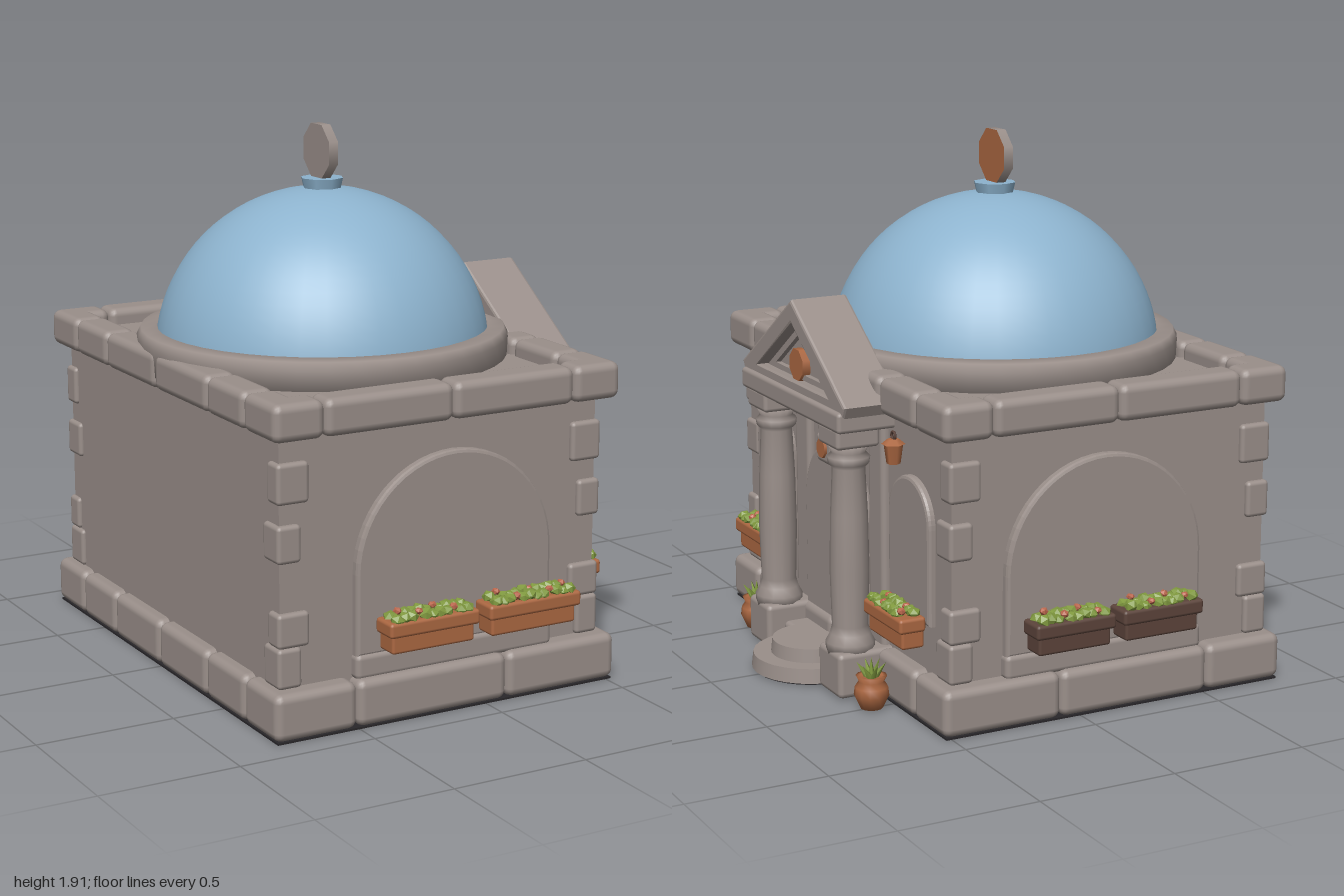
import * as THREE from 'three';
import { RoundedBoxGeometry } from 'three/addons/geometries/RoundedBoxGeometry.js';

const paint = (name, color) => Object.assign(new THREE.MeshStandardMaterial({ color }), { name });

export function createModel() {
  const model = new THREE.Group();
  const stone = paint('stone', 0x9a8f8a), blue = paint('dome blue', 0x8db3ce);
  const copper = paint('terracotta', 0xac6842), darkWood = paint('dark wood', 0x5c443b);
  const green = paint('leaf green', 0x80993f), red = paint('flower red', 0xb9664c);
  const glass = paint('dark glass', 0x423a42), bars = paint('window bars', 0x66564e);
  const pale = paint('pale mullion', 0xaaa3a3), black = paint('underside', 0x29272a);
  let seed = 7;
  const rnd = () => (seed = (seed * 16807) % 2147483647) / 2147483647;

  const add = (parent, name, geo, mat, x = 0, y = 0, z = 0) => {
    const m = new THREE.Mesh(geo, mat);
    m.name = name;
    m.position.set(x, y, z);
    parent.add(m);
    return m;
  };
  // Box from its limits, with optional rounded edges
  const block = (parent, name, mat, x0, x1, y0, y1, z0, z1, r = 0.02) => {
    const s = [x1 - x0, y1 - y0, z1 - z0];
    const geo = r ? new RoundedBoxGeometry(...s, 2, Math.min(r, ...s.map(v => v * 0.45))) : new THREE.BoxGeometry(...s);
    return add(parent, name, geo, mat, (x0 + x1) / 2, (y0 + y1) / 2, (z0 + z1) / 2);
  };
  const group = (name, parent = model, x = 0, y = 0, z = 0, turn = 0) => {
    const g = new THREE.Group();
    g.name = name;
    g.position.set(x, y, z);
    g.rotation.y = turn;
    parent.add(g);
    return g;
  };
  // Round-headed outline
  const arch = (cx, half, y0, top, Type = THREE.Shape) => {
    const s = new Type();
    s.moveTo(cx - half, y0);
    s.lineTo(cx + half, y0);
    s.lineTo(cx + half, top - half);
    s.absarc(cx, top - half, half, 0, Math.PI, false);
    s.lineTo(cx - half, y0);
    return s;
  };
  const extrude = (shape, depth, bevel = 0) => new THREE.ExtrudeGeometry(shape, {
    depth, curveSegments: 14, bevelEnabled: bevel > 0, bevelSize: bevel, bevelThickness: bevel, bevelSegments: 2, bevelOffset: -bevel,
  });
  const polygon = pts => new THREE.Shape(pts.map(p => new THREE.Vector2(...p)));
  const wallShape = (half, holes) => {
    const s = polygon([[-half, 0.02], [half, 0.02], [half, 1.09], [-half, 1.09]]);
    s.holes = holes.map(h => arch(...h, THREE.Path));
    return s;
  };
  const archFrame = (parent, name, cx, inner, outer, y0, top, outerTop, z) => {
    const s = arch(cx, outer, y0, outerTop);
    s.holes = [arch(cx, inner, y0 + 0.001, top, THREE.Path)];
    add(parent, name, extrude(s, 0.02, 0.012), stone, 0, 0, z);
  };
  // Planter in wall space: leaves and flowers above a trough
  const planter = (parent, x0, x1, z, mat, depth = 0.1) => {
    const g = group('flowerBox', parent);
    block(g, 'trough', mat, x0 + 0.015, x1 - 0.015, 0.265, 0.35, z, z + depth - 0.015, 0.01);
    block(g, 'troughRim', mat, x0, x1, 0.325, 0.378, z, z + depth, 0.012);
    const n = Math.round((x1 - x0) / 0.032);
    for (let i = 0; i < n * 2; i++) {
      const flower = i % 5 === 2;
      const leaf = add(g, flower ? 'flower' : 'leaves', new THREE.IcosahedronGeometry(flower ? 0.016 : 0.026, 0), flower ? red : green,
        x0 + 0.025 + (x1 - x0 - 0.05) * ((i >> 1) + 0.5) / n, 0.378 + rnd() * 0.012 + (flower ? 0.014 : 0), z + depth * (i % 2 ? 0.76 : 0.3));
      leaf.scale.y = 0.7 + rnd() * 0.3;
      leaf.rotation.y = rnd() * 3;
    }
  };

  // Core and underside
  block(model, 'core', stone, -0.77, 0.41, 0.02, 1.09, -0.78, 0.78, 0);
  block(model, 'underside', black, -0.81, 0.52, 0, 0.007, -0.9, 0.9, 0);

  // Side walls with big arched windows
  for (const side of [1, -1]) {
    const w = group(side > 0 ? 'frontWall' : 'backWall', model, -0.15, 0, side * 0.78, side > 0 ? 0 : Math.PI);
    const c = 0.04 * side;
    add(w, 'wall', extrude(wallShape(0.62, [[c, 0.31, 0.25, 0.84]]), 0.06), stone);
    add(w, 'glass', new THREE.ShapeGeometry(arch(c, 0.31, 0.25, 0.84), 14), glass, 0, 0, 0.006);
    for (const x of [-0.19, 0, 0.19]) block(w, 'windowBar', bars, c + x - 0.014, c + x + 0.014, 0.25, x ? 0.78 : 0.845, 0.012, 0.04, 0);
    for (const y of [0.33, 0.48, 0.63]) block(w, 'windowBar', bars, c - 0.31, c + 0.31, y - 0.013, y + 0.013, 0.012, 0.036, 0);
    archFrame(w, 'windowFrame', c, 0.31, 0.385, 0.24, 0.84, 0.91, 0.06);
    block(w, 'windowSill', stone, c - 0.39, c + 0.39, 0.16, 0.25, 0.03, 0.1);
    const spans = side > 0 ? [[-0.28, 0.07], [0.11, 0.48]] : [[-0.37, -0.06], [-0.03, 0.29]];
    for (const [a, b] of spans) planter(w, a, b, 0.1, side > 0 ? copper : darkWood, 0.105);
  }

  // Entrance wall: two narrow windows and the double door
  const e = group('entranceWall', model, 0.41, 0, 0, Math.PI / 2);
  const openings = [[0, 0.18, 0.1, 0.76], [-0.57, 0.1, 0.36, 0.78], [0.57, 0.1, 0.36, 0.78]];
  add(e, 'wall', extrude(wallShape(0.84, openings), 0.06), stone);
  for (const c of [-0.57, 0.57]) {
    add(e, 'glass', new THREE.ShapeGeometry(arch(c, 0.1, 0.36, 0.78), 14), glass, 0, 0, 0.006);
    block(e, 'mullion', pale, c - 0.011, c + 0.011, 0.36, 0.78, 0.012, 0.04, 0);
    for (const y of [0.5, 0.64]) block(e, 'mullion', pale, c - 0.1, c + 0.1, y - 0.01, y + 0.01, 0.012, 0.036, 0);
    archFrame(e, 'windowFrame', c, 0.1, 0.155, 0.34, 0.78, 0.835, 0.055);
    planter(e, c - 0.145, c + 0.145, 0.09, copper, 0.1);
  }
  archFrame(e, 'doorFrame', 0, 0.175, 0.245, 0.02, 0.76, 0.82, 0.07);
  add(e, 'door', extrude(arch(0, 0.18, 0.1, 0.76), 0.025), stone);
  block(e, 'doorGap', bars, -0.004, 0.004, 0.1, 0.757, 0.02, 0.028, 0);
  for (const s of [-1, 1]) {
    const [a, b] = [s * 0.085 - 0.05, s * 0.085 + 0.05];
    block(e, 'doorPanel', stone, a, b, 0.14, 0.28, 0.02, 0.045, 0.008);
    block(e, 'doorPanel', stone, a, b, 0.33, 0.62, 0.02, 0.04, 0.008);
    add(e, 'doorRing', new THREE.TorusGeometry(0.022, 0.006, 6, 14), bars, s * 0.055, 0.355, 0.05);
    add(e, 'doorKnob', new THREE.SphereGeometry(0.012, 8, 6), bars, s * 0.055, 0.378, 0.048);
  }
  block(e, 'keystone', stone, -0.065, 0.065, 0.75, 0.86, 0.05, 0.14);
  const medallion = (x, y, z, r, depth = 0.02) => {
    const m = add(e, 'medallion', new THREE.CylinderGeometry(r, r, depth, 8), copper, x, y, z);
    m.rotation.set(Math.PI / 2, Math.PI / 8, 0);
  };
  medallion(0, 0.81, 0.14, 0.036);

  // Portico: plinths, columns, entablature and pediment
  const profile = [[0, 0.15], [0.085, 0.15], [0.088, 0.19], [0.072, 0.22], [0.064, 0.25], [0.07, 0.45], [0.066, 0.65],
    [0.058, 0.82], [0.072, 0.835], [0.076, 0.86], [0.06, 0.875], [0.078, 0.91], [0, 0.91]].map(p => new THREE.Vector2(...p));
  for (const s of [-1, 1]) {
    block(e, 'plinth', stone, s * 0.31 - 0.09, s * 0.31 + 0.09, 0.006, 0.17, 0.04, 0.27);
    add(e, 'column', new THREE.LatheGeometry(profile, 14), stone, s * 0.31, 0, 0.185);
    block(e, 'capital', stone, s * 0.31 - 0.08, s * 0.31 + 0.08, 0.9, 0.975, 0.1, 0.265, 0.015);
    block(e, 'pilaster', stone, s * 0.31 - 0.06, s * 0.31 + 0.06, 0.1, 0.98, 0.03, 0.085);
  }
  block(e, 'entablature', stone, -0.42, 0.42, 0.965, 1.04, 0.03, 0.275, 0.015);
  const gable = polygon([[-0.42, 1.02], [0.42, 1.02], [0.44, 1.06], [0, 1.36], [-0.44, 1.06]]);
  gable.holes = [polygon([[-0.3, 1.07], [0.3, 1.07], [0, 1.275]])];
  add(e, 'pediment', extrude(gable, 0.2, 0.01), stone, 0, 0, 0.05);
  add(e, 'pedimentInfill', extrude(polygon([[-0.35, 1.04], [0.35, 1.04], [0, 1.29]]), 0.15), stone, 0, 0, 0.06);
  const trim = polygon([[-0.27, 1.075], [0.27, 1.075], [0, 1.26]]);
  trim.holes = [polygon([[-0.2, 1.095], [0.2, 1.095], [0, 1.232]])];
  add(e, 'pedimentTrim', extrude(trim, 0.025), stone, 0, 0, 0.205);
  medallion(0, 1.125, 0.225, 0.06, 0.03);

  // Rounded steps
  for (const [r, y0, y1] of [[0.225, 0.007, 0.06], [0.155, 0.055, 0.11]])
    add(model, 'step', new THREE.CylinderGeometry(r - 0.006, r, y1 - y0, 28), stone, 0.597, (y0 + y1) / 2, 0);
  add(model, 'underside', new THREE.CylinderGeometry(0.215, 0.215, 0.007, 28), black, 0.597, 0.0035, 0);
  block(model, 'threshold', stone, 0.42, 0.62, 0.01, 0.11, -0.22, 0.22);

  // Rows of rounded stones for the base and the cornice
  const course = (name, y0, y1, xs, zs, t, r) => {
    for (const s of [-1, 1]) for (let i = 1; i < xs.length; i++)
      block(model, name, stone, xs[i - 1], xs[i], y0, y1, s > 0 ? 0.91 - t : -0.91, s > 0 ? 0.91 : t - 0.91, r);
    for (const [a, b] of [[-0.82, -0.82 + t], [0.53 - t, 0.53]]) for (let i = 1; i < zs.length; i++)
      block(model, name, stone, a, b, y0, y1, zs[i - 1], zs[i], r);
  };
  course('baseStone', 0.006, 0.17, [-0.82, -0.51, 0.08, 0.53], [-0.91, -0.67, -0.38, 0, 0.38, 0.67, 0.91], 0.13, 0.03);
  course('corniceStone', 1.02, 1.15, [-0.82, -0.63, -0.14, 0.34, 0.53], [-0.91, -0.68, -0.41, 0, 0.41, 0.68, 0.91], 0.125, 0.03);

  // Corner stones
  for (const sx of [-1, 1]) for (const sz of [-1, 1])
    for (const [y0, y1, n] of [[0.17, 0.31, 0.09], [0.31, 0.43, 0.12], [0.6, 0.73, 0.09], [0.8, 0.94, 0.12]]) {
      const x = sx > 0 ? 0.485 : -0.785, z = sz * 0.86;
      block(model, 'cornerStone', stone, Math.min(x, x - sx * n), Math.max(x, x - sx * n), y0, y1,
        Math.min(z, z - sz * (0.2 - n)), Math.max(z, z - sz * (0.2 - n)), 0.015);
    }

  // Dome, its ring and the finial
  const roof = group('domeRoof', model, -0.145, 0, 0);
  const ring = [[0.58, 1.06], [0.665, 1.06], [0.67, 1.16], [0.655, 1.19], [0.6, 1.195], [0.58, 1.17]].map(p => new THREE.Vector2(...p));
  add(roof, 'domeRing', new THREE.LatheGeometry(ring, 40), stone);
  add(roof, 'dome', new THREE.SphereGeometry(0.604, 40, 18, 0, Math.PI * 2, 0, 1.42), blue, 0, 1.086, 0);
  add(roof, 'finialBase', new THREE.CylinderGeometry(0.078, 0.066, 0.05, 8), blue, 0, 1.697, 0);
  const disc = add(roof, 'finialDisc', new THREE.CylinderGeometry(0.103, 0.103, 0.036, 8), [stone, copper, stone], -0.005, 1.818, 0);
  disc.rotation.set(Math.PI / 8, 0, -Math.PI / 2);

  // Potted plants beside the door
  const potShape = [[0, 0.003], [0.04, 0.003], [0.062, 0.05], [0.058, 0.08], [0.045, 0.1], [0.055, 0.12], [0.04, 0.12], [0, 0.105]].map(p => new THREE.Vector2(...p));
  for (const s of [-1, 1]) {
    const p = group('pottedPlant', model, 0.605, 0, s * 0.5);
    add(p, 'pot', new THREE.LatheGeometry(potShape, 12), copper);
    for (let i = 0; i < 7; i++) {
      const leaf = add(p, 'leaf', new THREE.ConeGeometry(0.018, 0.085, 4).translate(0, 0.042, 0), green, 0, 0.1, 0);
      leaf.rotation.set(i ? 0.65 : 0, i * 1.047, 0, 'YXZ');
    }
  }

  // Hanging lantern
  const lantern = group('lantern', model, 0.505, 0, -0.48);
  add(lantern, 'lanternBody', new THREE.CylinderGeometry(0.034, 0.024, 0.07, 6), copper, 0, 0.895, 0);
  add(lantern, 'lanternCap', new THREE.CylinderGeometry(0.02, 0.042, 0.018, 6), copper, 0, 0.938, 0);
  add(lantern, 'lanternHook', new THREE.TorusGeometry(0.014, 0.005, 6, 10), darkWood, 0, 0.958, 0).rotation.y = Math.PI / 2;

  return model;
}
